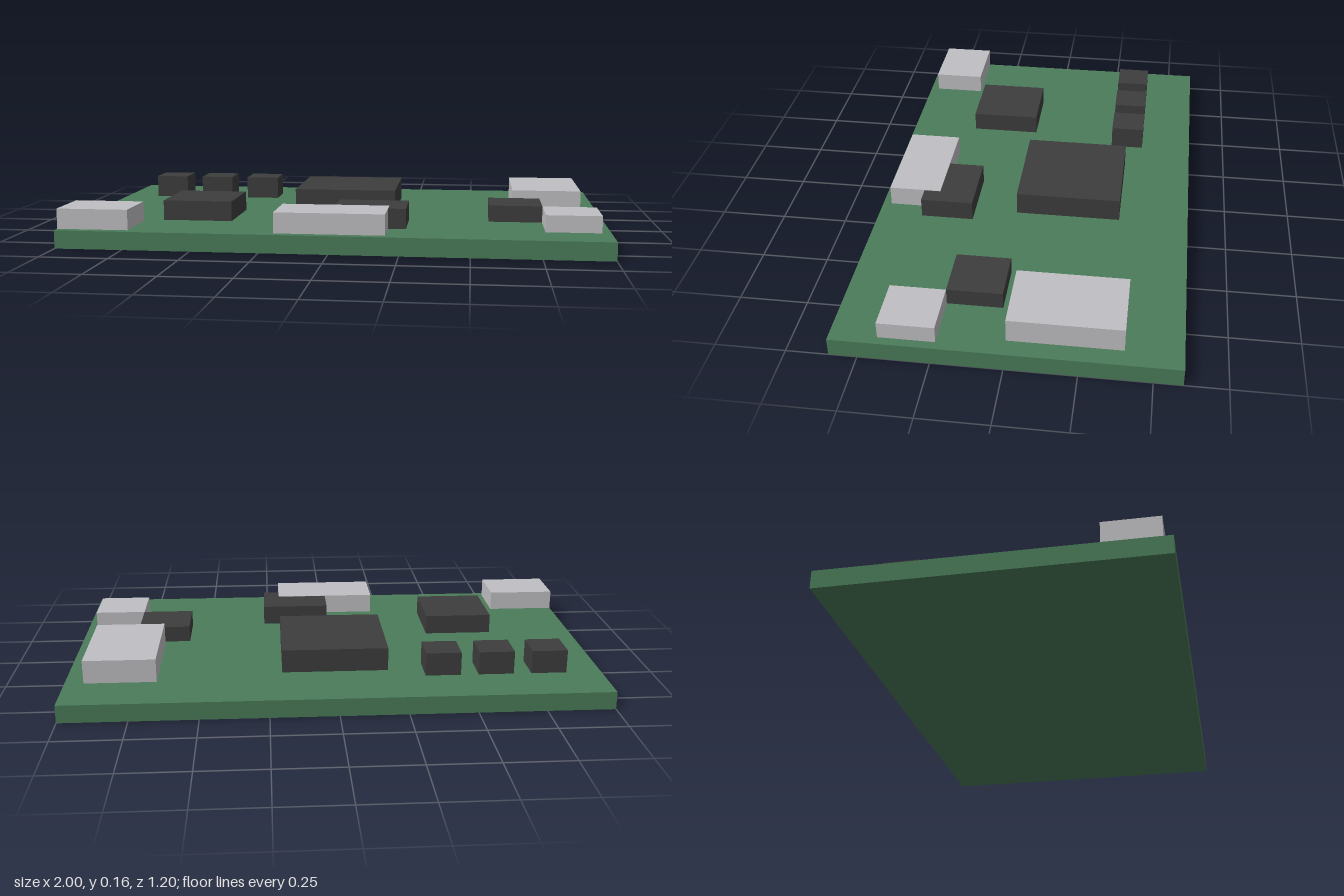
import * as THREE from 'three';

const BOARD_TOP = 0.067;

function makeMaterial(name, color) {
  const material = new THREE.MeshStandardMaterial({ color });
  material.name = name;
  return material;
}

export function createModel() {
  const green = makeMaterial('boardGreen', 0x4a7c59);
  const dark = makeMaterial('chipDark', 0x3d3d3d);
  const silver = makeMaterial('connectorSilver', 0xc0c0c4);

  const model = new THREE.Group();
  model.name = 'circuitBoard';

  // Box given by its extents on the board plane and its bottom and top heights
  function addBox(name, material, x0, x1, z0, z1, top, bottom = BOARD_TOP) {
    const mesh = new THREE.Mesh(new THREE.BoxGeometry(x1 - x0, top - bottom, z1 - z0), material);
    mesh.position.set((x0 + x1) / 2, (bottom + top) / 2, (z0 + z1) / 2);
    mesh.name = name;
    model.add(mesh);
  }

  // Base board
  addBox('board', green, -1, 1, -0.6, 0.6, BOARD_TOP, 0);

  // Chips
  addBox('processor', dark, -0.2, 0.2, -0.335, 0.065, 0.155);
  addBox('memoryChip', dark, -0.667, -0.403, 0.065, 0.333, 0.142);
  addBox('frontChip', dark, 0, 0.265, 0.23, 0.43, 0.142);
  addBox('sideChip', dark, 0.567, 0.767, 0.033, 0.233, 0.129);

  // Row of small capacitors
  for (let i = 0; i < 3; i++) {
    const x = -0.867 + i * 0.2;
    addBox('capacitor' + (i + 1), dark, x, x + 0.133, -0.4, -0.27, 0.155);
  }

  // Metal connectors; the front one sits a hair above the chip it overlaps
  addBox('largeConnector', silver, 0.663, 0.93, -0.4, 0, 0.155);
  addBox('smallConnector', silver, 0.767, 0.967, 0.233, 0.433, 0.129);
  addBox('cornerConnector', silver, -1, -0.735, 0.367, 0.567, 0.142);
  addBox('frontConnector', silver, -0.2, 0.2, 0.367, 0.567, 0.143);

  return model;
}
